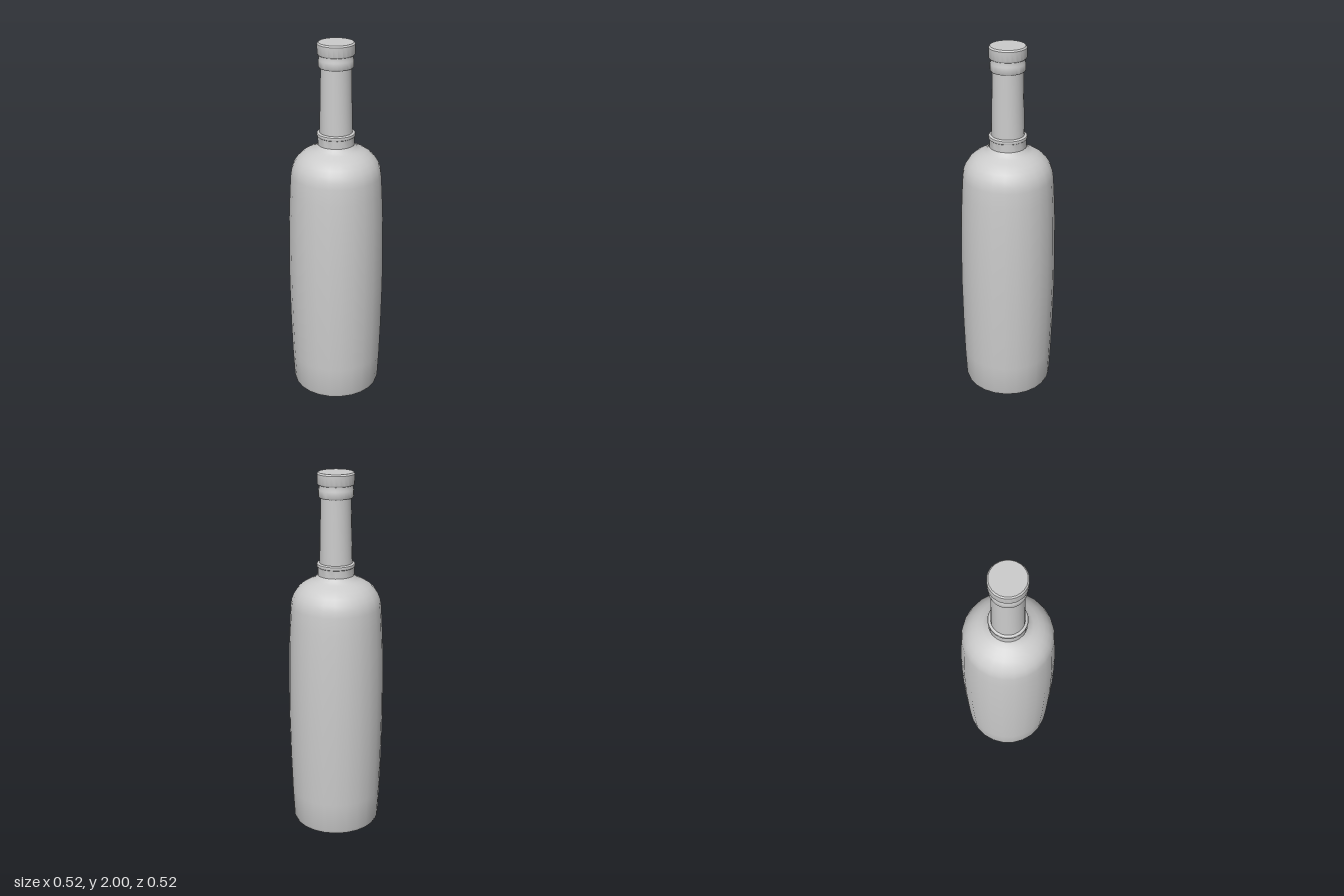
import * as THREE from 'three';
import { toCreasedNormals } from 'three/addons/utils/BufferGeometryUtils.js';

const SIDES = 24;

// Revolves a [radius, height] profile (listed bottom to top) with creased edges
function turned(name, profile, material) {
  const points = profile.map(([r, y]) => new THREE.Vector2(r, y));
  const geometry = toCreasedNormals(new THREE.LatheGeometry(points, SIDES), 0.6);
  const mesh = new THREE.Mesh(geometry, material);
  mesh.name = name;
  return mesh;
}

export function createModel() {
  const group = new THREE.Group();
  group.name = 'bottle';
  const glass = new THREE.MeshStandardMaterial({ color: 0xcccccc, side: THREE.DoubleSide });

  // Slightly bulging body with a rounded shoulder
  group.add(turned('body', [
    [0, 0], [0.195, 0], [0.22, 0.007], [0.237, 0.018], [0.243, 0.035],
    [0.251, 0.2], [0.257, 0.4], [0.261, 0.65], [0.26, 0.85], [0.256, 1.05],
    [0.249, 1.2], [0.243, 1.29], [0.238, 1.322], [0.226, 1.353], [0.208, 1.38],
    [0.185, 1.402], [0.158, 1.419], [0.13, 1.432], [0.112, 1.443], [0.099, 1.46],
  ], glass));

  // Collar with a raised ring where the neck begins
  group.add(turned('collar', [
    [0.097, 1.45], [0.097, 1.502], [0.101, 1.505], [0.103, 1.513],
    [0.101, 1.521], [0.096, 1.525], [0.086, 1.526],
  ], glass));

  // Tapering neck
  group.add(turned('neck', [[0.088, 1.52], [0.085, 1.65], [0.08, 1.88]], glass));

  // Lip ring under the stopper
  group.add(turned('lip', [
    [0.079, 1.87], [0.088, 1.87], [0.092, 1.876], [0.092, 1.91],
    [0.089, 1.918], [0.089, 1.94],
  ], glass));

  // Bevelled stopper
  group.add(turned('stopper', [
    [0.088, 1.936], [0.094, 1.936], [0.098, 1.942], [0.098, 1.992],
    [0.091, 2], [0, 2],
  ], glass));

  return group;
}
